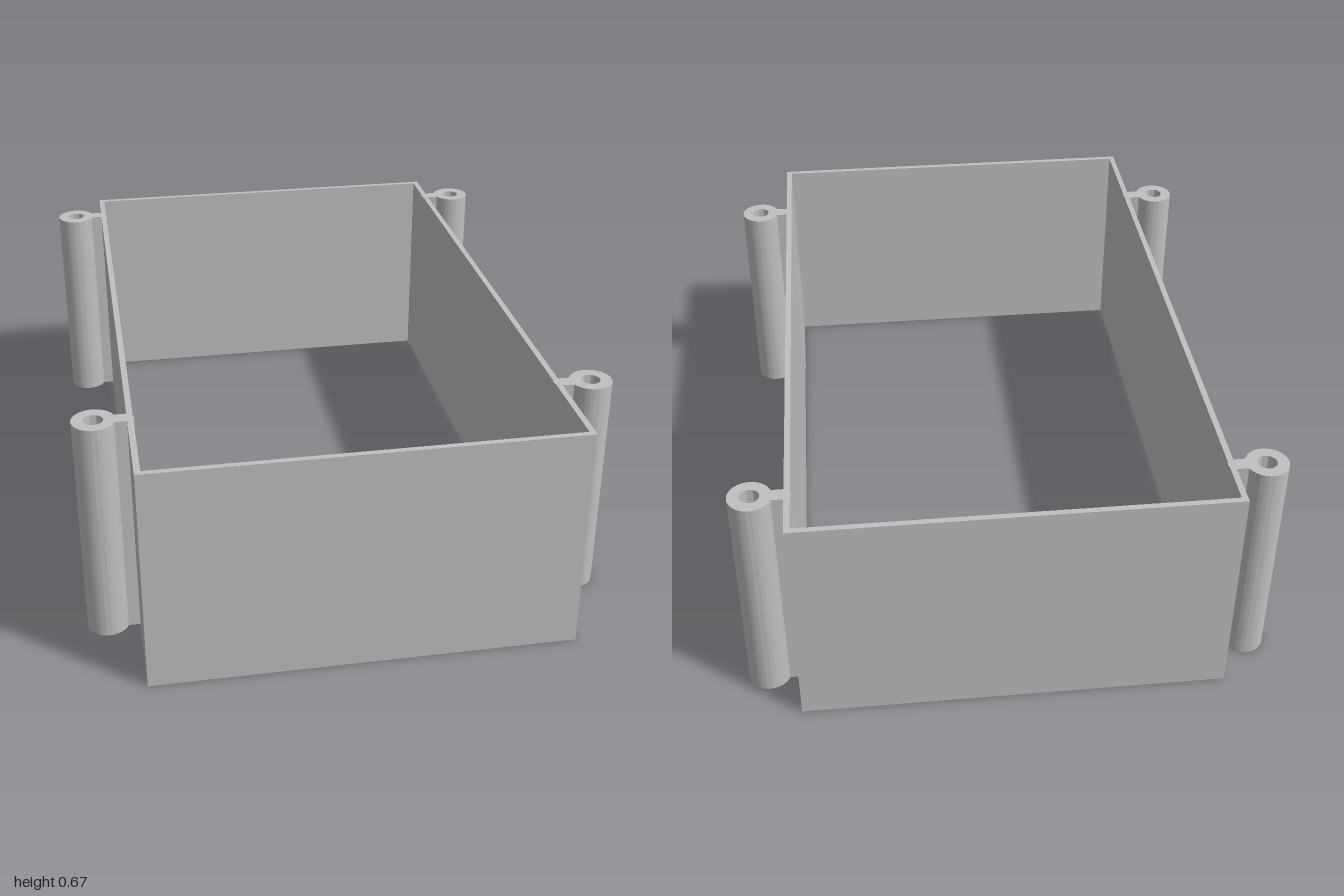
import * as THREE from 'three';
import { toCreasedNormals } from 'three/addons/utils/BufferGeometryUtils.js';

const HEIGHT = 0.67;

// Extrude a plan outline upward from y = 0
function extrudeUp(shape) {
  const geo = new THREE.ExtrudeGeometry(shape, { depth: HEIGHT, bevelEnabled: false, curveSegments: 40 });
  geo.rotateX(-Math.PI / 2);
  return toCreasedNormals(geo, Math.PI / 6);
}

function rectangle(target, hx, hz) {
  target.moveTo(-hx, -hz);
  target.lineTo(hx, -hz);
  target.lineTo(hx, hz);
  target.lineTo(-hx, hz);
  target.closePath();
  return target;
}

export function createModel() {
  const group = new THREE.Group();
  group.name = 'openFrame';
  const grey = new THREE.MeshStandardMaterial({ color: 0xc0c0c0 });
  grey.name = 'grey';

  // Thin four-sided wall, open at top and bottom
  const wallShape = rectangle(new THREE.Shape(), 0.607, 1);
  wallShape.holes.push(rectangle(new THREE.Path(), 0.59, 0.983));
  const wall = new THREE.Mesh(extrudeUp(wallShape), grey);
  wall.name = 'frameWall';
  group.add(wall);

  // Hollow screw post with a round-ended web reaching into the wall
  const radius = 0.06, bore = 0.027, web = 0.021, reach = 0.089;
  const a = Math.asin(web / radius);
  const postShape = new THREE.Shape();
  postShape.absarc(0, 0, radius, -Math.PI + a, Math.PI - a, false);
  postShape.lineTo(-reach, web);
  postShape.absarc(-reach, 0, web, Math.PI / 2, Math.PI * 1.5, false);
  postShape.closePath();
  const hole = new THREE.Path();
  hole.absarc(0, 0, bore, 0, Math.PI * 2, true);
  postShape.holes.push(hole);
  const postGeo = extrudeUp(postShape);

  for (const [end, z] of [['front', 0.697], ['back', -0.845]]) {
    for (const side of [1, -1]) {
      const post = new THREE.Mesh(postGeo, grey);
      post.name = end + (side > 0 ? 'Left' : 'Right') + 'ScrewPost';
      post.position.set(side * 0.697, 0, z);
      if (side < 0) post.rotation.y = Math.PI;
      group.add(post);
    }
  }
  return group;
}
